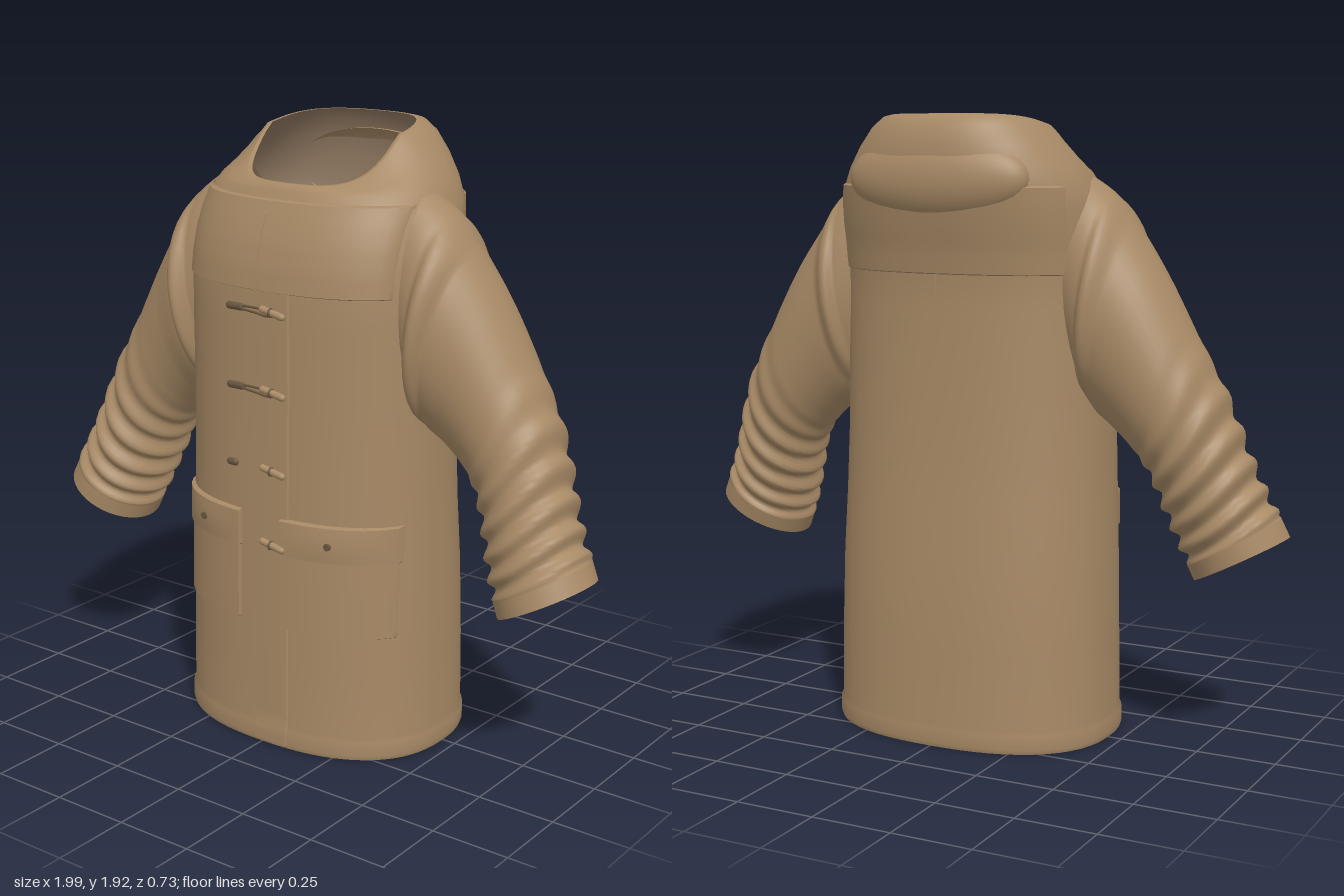
import * as THREE from 'three';
import { toCreasedNormals } from 'three/addons/utils/BufferGeometryUtils.js';

const material = (name, color) =>
  new THREE.MeshStandardMaterial({ name, color, side: THREE.DoubleSide });

// Body cross-sections: side height, half width, back z, front z, back height, front height
const BODY = [
  [0.00, 0.455, -0.330, 0.348], [0.015, 0.460, -0.335, 0.352], [0.06, 0.459, -0.335, 0.351],
  [0.07, 0.453, -0.330, 0.345], [0.30, 0.450, -0.328, 0.342], [0.55, 0.445, -0.318, 0.338],
  [0.75, 0.438, -0.302, 0.334], [0.95, 0.432, -0.292, 0.330], [1.15, 0.430, -0.287, 0.327],
  [1.35, 0.430, -0.284, 0.327], [1.45, 0.430, -0.286, 0.325], [1.52, 0.428, -0.298, 0.317],
  [1.59, 0.425, -0.315, 0.300], [1.65, 0.418, -0.328, 0.278], [1.70, 0.407, -0.338, 0.255],
  [1.77, 0.375, -0.346, 0.236, 1.76, 1.735], [1.82, 0.335, -0.343, 0.230, 1.83, 1.745],
  [1.865, 0.295, -0.325, 0.224, 1.89, 1.752], [1.89, 0.265, -0.298, 0.217, 1.92, 1.757],
  [1.895, 0.25, -0.275, 0.212, 1.925, 1.757],
];
const FLAT_ROWS = 15; // rows whose height is the same all round
const POWER = 2.4;
const SEG = 72;

function bodyRing([y, w, zb, zf, yBack = y, yFront = y], inset = 0) {
  const ring = [], mid = (zb + zf) / 2, depth = (zf - zb) / 2 - inset;
  const round = v => Math.sign(v) * Math.abs(v) ** (2 / POWER);
  for (let i = 0; i < SEG; i++) {
    const t = (i / SEG) * Math.PI * 2, f = Math.sin(t), k = Math.abs(f);
    const h = y + ((f > 0 ? yFront : yBack) - y) * k * (2 - k);
    ring.push(new THREE.Vector3((w - inset) * round(Math.cos(t)), h, mid + depth * round(f)));
  }
  return ring;
}

// Closed rings joined into a skin
function loft(rings, flip = false) {
  const n = rings[0].length, index = [];
  for (let i = 0; i < rings.length - 1; i++) {
    for (let j = 0; j < n; j++) {
      const a = i * n + j, b = i * n + (j + 1) % n, c = a + n, d = b + n;
      if (flip) index.push(a, b, c, b, d, c);
      else index.push(a, c, b, b, c, d);
    }
  }
  const g = new THREE.BufferGeometry().setFromPoints(rings.flat());
  g.setIndex(index);
  g.computeVertexNormals();
  return g;
}

// Depth of the coat surface at x, y; side is 1 for front and -1 for back
function surfaceZ(x, y, side = 1) {
  let i = 0;
  while (i < FLAT_ROWS - 2 && BODY[i + 1][0] < y) i++;
  const p = BODY[i], q = BODY[i + 1], t = (y - p[0]) / (q[0] - p[0]);
  const [, w, zb, zf] = p.map((v, k) => v + (q[k] - v) * t);
  const r = Math.max(0, 1 - Math.min(1, Math.abs(x) / w) ** POWER) ** (1 / POWER);
  return (zb + zf) / 2 + side * ((zf - zb) / 2) * r;
}

// Raised panel that follows the coat surface
function panel(x0, x1, y0, y1, height, side = 1, puff = 0) {
  const steps = (a, b, n) => {
    const e = Math.min(0.005, (b - a) / 4);
    return [a, ...Array.from({ length: n + 1 }, (_, i) => a + e + ((b - a - 2 * e) * i) / n), b];
  };
  const xs = steps(x0, x1, Math.max(2, Math.ceil((x1 - x0) / 0.025)));
  const ys = steps(y0, y1, Math.max(2, Math.ceil((y1 - y0) / 0.025)));
  const points = [], index = [];
  ys.forEach((y, j) => xs.forEach((x, i) => {
    const rim = i === 0 || j === 0 || i === xs.length - 1 || j === ys.length - 1;
    const u = (x - x0) / (x1 - x0), v = (y - y0) / (y1 - y0);
    const lift = rim ? -0.004 : height + puff * Math.sin(u * Math.PI) * Math.sin(v * Math.PI);
    points.push(new THREE.Vector3(x, y, surfaceZ(x, y, side) + side * lift));
    if (i && j) {
      const d = j * xs.length + i, c = d - 1, b = d - xs.length, a = b - 1;
      if (side > 0) index.push(a, b, d, a, d, c);
      else index.push(a, d, b, a, c, d);
    }
  }));
  const g = new THREE.BufferGeometry().setFromPoints(points);
  g.setIndex(index);
  return toCreasedNormals(g, 0.6);
}

// Sleeve stations: outer x, y, inner x, y, centre z, half depth
const SLEEVE = [
  [0.34, 1.765, 0.34, 1.18, 0.0, 0.16], [0.46, 1.685, 0.38, 1.09, 0.0, 0.19],
  [0.535, 1.585, 0.42, 1.03, 0.0, 0.19], [0.62, 1.46, 0.48, 0.985, -0.008, 0.178],
  [0.72, 1.28, 0.55, 0.92, -0.01, 0.168], [0.81, 1.11, 0.60, 0.85, 0.0, 0.165],
  [0.865, 0.96, 0.635, 0.76, 0.02, 0.165], [0.91, 0.84, 0.665, 0.67, 0.045, 0.16],
  [0.955, 0.745, 0.695, 0.59, 0.063, 0.155], [0.99, 0.672, 0.72, 0.53, 0.072, 0.152],
];

function sleeveRings(side, inset) {
  const curve = k => new THREE.CatmullRomCurve3(
    SLEEVE.map(s => new THREE.Vector3(s[k], s[k + 1], 0)));
  const outer = curve(0), inner = curve(2), depth = curve(4), rings = [];
  for (let i = 0; i <= 90; i++) {
    const t = i / 90, o = outer.getPoint(t), n = inner.getPoint(t), d = depth.getPoint(t);
    const mid = o.clone().add(n).multiplyScalar(0.5), half = o.clone().sub(n).multiplyScalar(0.5);
    // folds gather towards the wrist and stop at the plain cuff
    const fold = t > 0.9 ? 0 : 0.011 * THREE.MathUtils.smoothstep(t, 0.4, 0.65);
    const cuff = t > 0.9 ? 0.006 : 0;
    const ring = [];
    for (let j = 0; j < 40; j++) {
      const a = (j / 40) * Math.PI * 2;
      const grow = fold * Math.sin(t * 78 + 1.3 * Math.sin(a + 1) + 0.8 * Math.cos(2 * a)) + cuff - inset;
      const r = 1 + grow / half.length();
      ring.push(new THREE.Vector3(side * (mid.x + half.x * Math.cos(a) * r),
        mid.y + half.y * Math.cos(a) * r, d.x + (d.y + grow) * Math.sin(a)));
    }
    rings.push(ring);
  }
  return rings;
}

export function createModel() {
  const coat = material('coat cloth', 0xa78965);
  const lining = material('lining', 0x8f7860);
  const cord = material('cord', 0x6a563f);
  const root = new THREE.Group();
  root.name = 'coat';
  const add = (name, geometry, mat = coat, parent = root) => {
    const mesh = new THREE.Mesh(geometry, mat);
    mesh.name = name;
    parent.add(mesh);
    return mesh;
  };

  // Body with hood collar, lining and turned edges
  const outside = BODY.map(r => bodyRing(r)), inside = BODY.map(r => bodyRing(r, 0.012));
  add('body', loft(outside));
  add('bodyLining', loft(inside, true), lining);
  add('neckEdge', loft([outside.at(-1), inside.at(-1)]));
  add('hemEdge', loft([inside[0], outside[0]]));

  // Folded hood lying on the back
  const hood = add('hoodFold', new THREE.SphereGeometry(1, 40, 24, Math.PI, Math.PI));
  hood.scale.set(0.3, 0.135, 0.098);
  hood.position.set(0, 1.735, -0.262);
  hood.rotation.x = 0.08;

  // Shoulder yoke and seams
  add('frontYoke', panel(-0.38, 0.38, 1.45, 1.715, 0.009));
  add('backYoke', panel(-0.38, 0.38, 1.45, 1.715, 0.007, -1));
  add('frontOpening', panel(-0.026, 0.10, 0.005, 1.46, 0.005));
  add('yokeOpening', panel(-0.026, -0.016, 1.45, 1.68, 0.014));
  add('backSeam', panel(-0.004, 0.004, 0.07, 1.46, 0.003, -1));

  for (const side of [1, -1]) {
    const label = side > 0 ? 'left' : 'right';

    // Sleeve
    const skin = sleeveRings(side, 0), inner = sleeveRings(side, 0.012);
    add(label + 'Sleeve', loft(skin, side > 0));
    add(label + 'SleeveLining', loft(inner.slice(25), side < 0), lining);
    add(label + 'CuffEdge', loft([skin.at(-1), inner.at(-1)], side > 0));

    // Patch pocket, flap and button
    const [x0, x1] = side > 0 ? [0.07, 0.41] : [-0.41, -0.08];
    add(label + 'Pocket', panel(x0 + 0.005, x1 - 0.005, 0.40, 0.70, 0.009));
    add(label + 'PocketFlap', panel(x0, x1, 0.64, 0.76, 0.018, 1, 0.006));
    const button = add(label + 'Button', new THREE.CylinderGeometry(0.011, 0.011, 0.012, 16), cord);
    button.rotation.x = Math.PI / 2;
    button.position.set(side * 0.24, 0.70, surfaceZ(0.24, 0.70) + 0.024);
  }

  // Toggle fastenings
  [1.395, 1.15, 0.905, 0.67].forEach((y, i) => {
    const z = surfaceZ(0, y), fastening = new THREE.Group();
    fastening.name = 'fastening' + (i + 1);
    fastening.position.set(0, y, z);
    root.add(fastening);
    const toggle = add('toggle', new THREE.CapsuleGeometry(0.011, 0.075, 6, 14), coat, fastening);
    toggle.rotation.z = Math.PI / 2 - 0.2;
    toggle.position.set(0.05, 0, 0.016);
    const wrap = add('toggleCord', new THREE.TorusGeometry(0.011, 0.004, 8, 16), cord, fastening);
    wrap.rotation.y = Math.PI / 2;
    wrap.position.set(0.045, 0, 0.016);
    if (i < 3) {
      const tab = add('loopTab', new THREE.CapsuleGeometry(0.012, i < 2 ? 0.045 : 0.018, 6, 12), cord, fastening);
      tab.rotation.z = Math.PI / 2;
      tab.scale.z = 0.7;
      tab.position.set(i < 2 ? -0.1 : -0.115, 0, 0.003);
    }
    if (i < 2) {
      const loop = new THREE.CatmullRomCurve3([[-0.08, 0.005, 0.004], [-0.02, 0.007, 0.012],
        [0.035, 0.004, 0.016], [0.035, -0.01, 0.016], [-0.02, -0.007, 0.012], [-0.08, -0.005, 0.004]]
        .map(p => new THREE.Vector3(...p)));
      add('cordLoop', new THREE.TubeGeometry(loop, 32, 0.004, 8), cord, fastening);
    }
  });
  return root;
}
